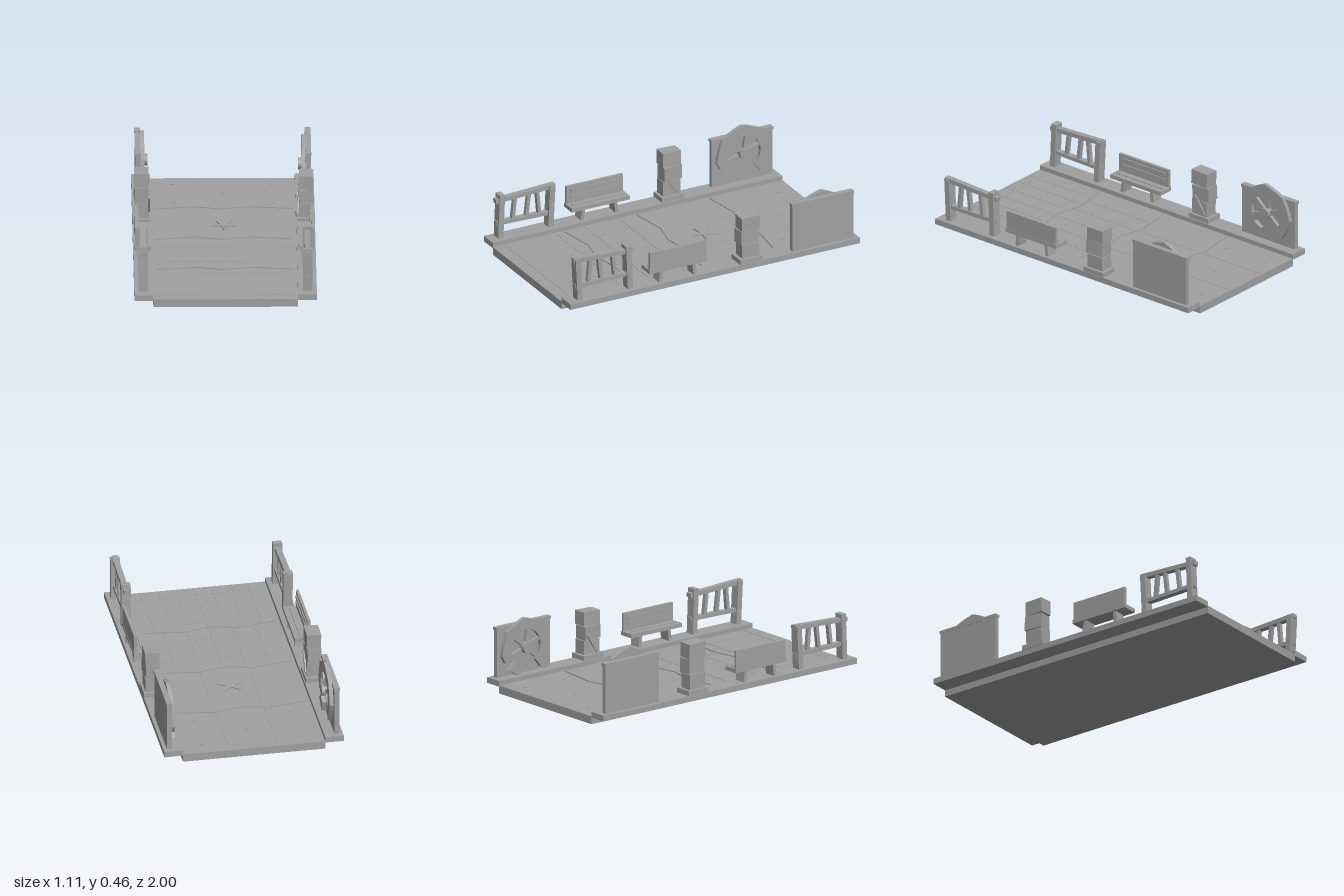
import * as THREE from 'three';

const stone = new THREE.MeshStandardMaterial({ color: 0xa0a0a0 });
stone.name = 'stone grey';

function add(parent, name, geometry, x = 0, y = 0, z = 0) {
  const mesh = new THREE.Mesh(geometry, stone);
  mesh.name = name;
  mesh.position.set(x, y, z);
  parent.add(mesh);
  return mesh;
}
function box(parent, name, w, h, d, x, y, z, rx = 0, ry = 0, rz = 0) {
  const mesh = add(parent, name, new THREE.BoxGeometry(w, h, d), x, y, z);
  mesh.rotation.set(rx, ry, rz);
  return mesh;
}
// Square bar between two points in the local y-z plane
function bar(parent, name, w, t, x, y1, z1, y2, z2) {
  const len = Math.hypot(y2 - y1, z2 - z1);
  return box(parent, name, w, len, t, x, (y1 + y2) / 2, (z1 + z2) / 2, Math.atan2(z2 - z1, y2 - y1));
}
// Outline in the floor plane, raised into a thin plate
function floorPlate(parent, name, points, y, height) {
  const shape = new THREE.Shape(points.map(([x, z]) => new THREE.Vector2(x, -z)));
  const geo = new THREE.ExtrudeGeometry(shape, { depth: height, bevelEnabled: false });
  geo.rotateX(-Math.PI / 2);
  return add(parent, name, geo, 0, y, 0);
}

// Local +x points away from the road on both sides
function sideGroup(root, name, s, z) {
  const g = new THREE.Group();
  g.name = name;
  g.position.set(s * 0.5, 0, z);
  g.rotation.y = s < 0 ? Math.PI : 0;
  root.add(g);
  return g;
}

function fence(root, s) {
  const g = sideGroup(root, 'fence', s, 0.75);
  bar(g, 'fencePost', 0.058, 0.036, 0, 0.08, 0.168, 0.35, 0.182);
  bar(g, 'fencePost', 0.058, 0.036, 0, 0.08, -0.178, 0.365, -0.166);
  bar(g, 'topRail', 0.036, 0.028, 0, 0.343, 0.205, 0.325, -0.205);
  bar(g, 'lowerRail', 0.036, 0.024, 0, 0.168, 0.195, 0.176, -0.2);
  [[0.1, 0.085], [0.01, 0.03], [-0.085, -0.065]].forEach(([a, b]) =>
    bar(g, 'baluster', 0.026, 0.022, 0, 0.17, a, 0.335, b));
}

function bench(root, s) {
  const g = sideGroup(root, 'bench', s, 0.25);
  box(g, 'benchSeat', 0.1, 0.025, 0.4, -0.003, 0.167, 0);
  box(g, 'benchBack', 0.018, 0.115, 0.39, 0.036, 0.236, 0);
  box(g, 'backSlat', 0.008, 0.02, 0.34, 0.024, 0.262, 0);
  box(g, 'backSlat', 0.008, 0.02, 0.34, 0.024, 0.222, 0);
  box(g, 'seatSlat', 0.012, 0.006, 0.36, -0.012, 0.182, 0);
  for (const z of [-0.115, 0.115]) bar(g, 'benchLeg', 0.075, 0.022, 0, 0.08, z * 1.04, 0.157, z * 0.96);
}

function pillar(root, s) {
  const g = sideGroup(root, 'pillar', s, -0.25);
  box(g, 'plinth', 0.11, 0.03, 0.155, 0, 0.095, 0);
  const top = s < 0 ? 0.402 : 0.382;
  const h = (top - 0.11) / 3;
  [[0.084, 0.118, -0.03, 0.015], [0.086, 0.124, 0.03, -0.02], [0.088, 0.124, -0.02, 0.02]].forEach(
    ([w, d, turn, tilt], i) =>
      box(g, 'pillarBlock', w, h - 0.004, d, 0, 0.11 + h * (i + 0.5), i === 1 ? 0.004 : -0.003, tilt, turn, -tilt));
  // Slanted brace on the inner face
  bar(g, 'pillarBrace', 0.012, 0.02, -0.046, 0.12, 0.04, 0.24, -0.04);
}

// Ring sector with slightly uneven outer edge, facing the road
function rimPiece(parent, name, from, to, steps, inner, depth) {
  const shape = new THREE.Shape();
  const at = (i) => THREE.MathUtils.degToRad(from + ((to - from) * i) / steps);
  for (let i = 0; i <= steps; i++) {
    const r = 0.182 + (i % 3 === 0 ? 0.006 : -0.004);
    shape.lineTo(r * Math.cos(at(i)), r * Math.sin(at(i)));
    if (i === 0) {
      shape.curves.length = 0;
      shape.moveTo(r * Math.cos(at(i)), r * Math.sin(at(i)));
    }
  }
  for (let i = steps; i >= 0; i--) shape.lineTo(inner * Math.cos(at(i)), inner * Math.sin(at(i)));
  const geo = new THREE.ExtrudeGeometry(shape, { depth, bevelEnabled: false });
  geo.rotateY(-Math.PI / 2);
  return add(parent, name, geo);
}

function wheelPanel(root, s) {
  const g = sideGroup(root, 'wheelPanel', s, -0.755);
  box(g, 'panel', 0.03, 0.3, 0.42, 0.018, 0.228, 0);
  box(g, 'panelCap', 0.036, 0.018, 0.428, 0.018, 0.386, 0);
  const wheel = new THREE.Group();
  wheel.name = 'brokenWheel';
  wheel.position.set(0.003, s < 0 ? 0.27 : 0.24, 0);
  g.add(wheel);
  rimPiece(wheel, 'wheelRim', -50, 205, 16, 0.115, 0.025);
  rimPiece(wheel, 'looseRimPiece', 222, 252, 3, 0.115, 0.03);
  const hub = new THREE.CylinderGeometry(0.036, 0.036, 0.045, 10);
  hub.rotateZ(Math.PI / 2);
  add(wheel, 'wheelHub', hub, -0.022, 0, 0);
  for (let i = 0; i < 6; i++) {
    if (i === 4) continue;
    const a = (i * Math.PI) / 3 + 0.35;
    bar(wheel, 'wheelSpoke', 0.02, 0.02, -0.012, 0, 0, 0.125 * Math.sin(a), 0.125 * Math.cos(a));
  }
}

export function createModel() {
  const root = new THREE.Group();
  root.name = 'roadSection';

  // Road bed and raised edges
  box(root, 'roadBed', 0.88, 0.05, 2, 0, 0.025, 0);
  for (const s of [-1, 1]) {
    box(root, 'edgeWalk', 0.115, 0.036, 2, s * 0.4975, 0.06, 0);
    fence(root, s);
    bench(root, s);
    pillar(root, s);
    wheelPanel(root, s);
  }

  // Zigzag joints between floor sections
  const zig = [[-0.42, 0.012], [-0.18, -0.025], [-0.02, 0.012], [0.17, -0.023], [0.42, 0.01]];
  for (const z of [-0.5, 0, 0.5]) {
    const near = zig.map(([x, dz]) => [x, z + dz + 0.005]);
    const far = zig.map(([x, dz]) => [x, z + dz - 0.005]).reverse();
    floorPlate(root, 'zigzagJoint', [...near, ...far], 0.049, 0.007);
  }

  // Plank seams: narrow boards in front, wider ones further back
  const seam = (x, z1, z2) => box(root, 'plankSeam', 0.006, 0.004, z2 - z1, x, 0.05, (z1 + z2) / 2);
  const cross = (z) => box(root, 'crossSeam', 0.84, 0.004, 0.008, 0, 0.05, z);
  for (let i = -3; i <= 3; i++) seam(i * 0.11, 0.52, 0.99);
  for (const x of [-0.28, -0.14, 0, 0.14, 0.28]) seam(x, 0.02, 0.48);
  for (const x of [-0.15, 0.15]) {
    seam(x, -0.48, -0.03);
    seam(x, -0.99, -0.53);
  }
  [0.92, 0.57, 0.37, 0.13].forEach(cross);

  // Rivets on the rear section
  for (const [x, z] of [[0, -0.755], [-0.3, -0.9], [0.3, -0.9], [-0.3, -0.6], [0.3, -0.6]]) {
    add(root, 'rivet', new THREE.CylinderGeometry(0.012, 0.012, 0.006, 10), x, 0.051, z);
  }

  // Star inlay
  const star = [];
  for (let i = 0; i < 10; i++) {
    const r = i % 2 ? 0.026 : 0.085;
    const a = (i * Math.PI) / 5;
    star.push([r * Math.sin(a), -0.22 + r * Math.cos(a)]);
  }
  floorPlate(root, 'starInlay', star, 0.049, 0.008);
  return root;
}
